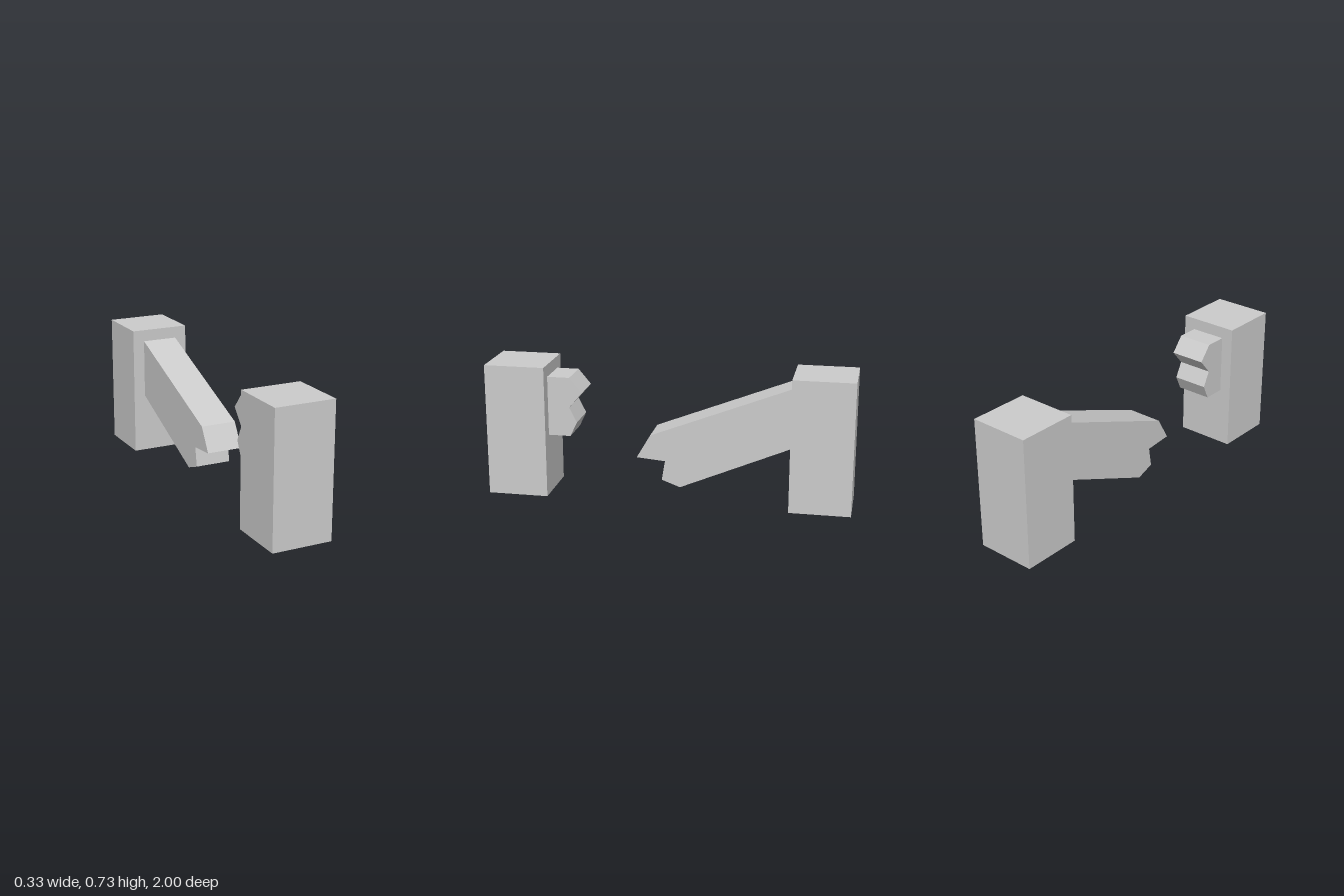
import * as THREE from 'three';

const material = new THREE.MeshStandardMaterial({ color: 0xcccccc, flatShading: true });
const POST = { width: 0.333, height: 0.733, depth: 0.333 };
const BEAM_WIDTH = 0.2;

// Upright post with its outer face at the end of the model
function post(name, side) {
  const geometry = new THREE.BoxGeometry(POST.width, POST.height, POST.depth);
  const mesh = new THREE.Mesh(geometry, material);
  mesh.name = name;
  mesh.position.set(0, POST.height / 2, side * (1 - POST.depth / 2));
  return mesh;
}

// Beam extruded across x from a side outline of [z, y] points
function beam(name, outline) {
  const shape = new THREE.Shape(outline.map(([z, y]) => new THREE.Vector2(z, y)));
  const geometry = new THREE.ExtrudeGeometry(shape, { depth: BEAM_WIDTH, bevelEnabled: false });
  geometry.translate(0, 0, -BEAM_WIDTH / 2);
  geometry.rotateY(-Math.PI / 2);
  const mesh = new THREE.Mesh(geometry, material);
  mesh.name = name;
  return mesh;
}

export function createModel() {
  const model = new THREE.Group();
  model.name = 'brokenBarrier';

  model.add(post('frontPost', 1), post('backPost', -1));

  // Short jagged stub left on the front post
  model.add(beam('brokenStub', [
    [0.667, 0.337], [0.667, 0.667], [0.544, 0.667], [0.475, 0.584],
    [0.548, 0.5], [0.506, 0.417], [0.544, 0.337],
  ]));

  // Long sagging beam with a splintered end
  model.add(beam('saggingBeam', [
    [-0.667, 0.337], [-0.667, 0.667], [0.098, 0.367], [0.173, 0.238],
    [0.016, 0.225], [0.034, 0.117], [-0.067, 0.08],
  ]));

  return model;
}
